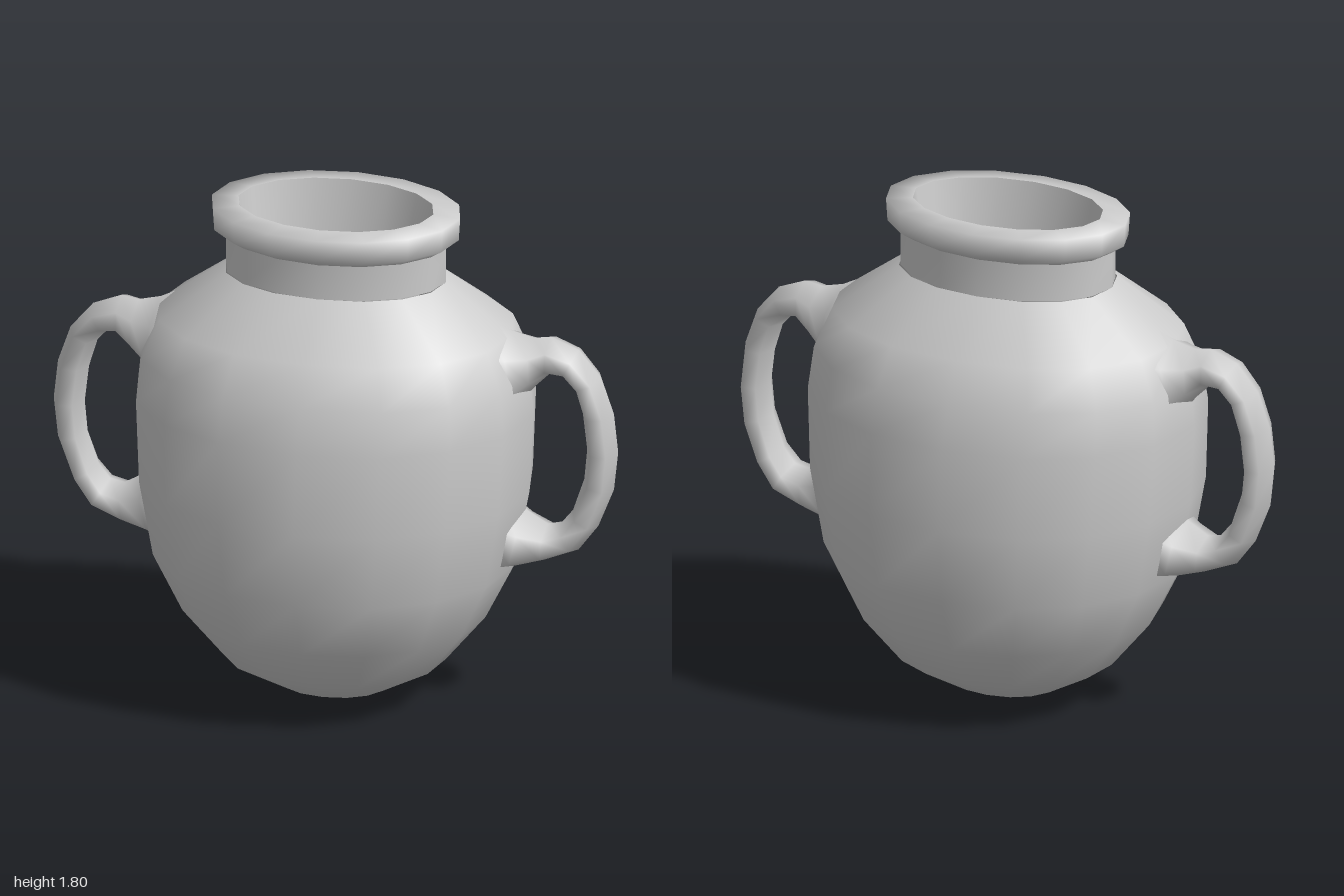
import * as THREE from 'three';

const SIDES = 16;
const material = new THREE.MeshStandardMaterial({ color: 0xcccccc, side: THREE.DoubleSide });

// Signed power, used to square off an ellipse a little
const spow = (v, e) => (Math.abs(v) < 1e-9 ? 0 : Math.sign(v) * Math.abs(v) ** e);

// Skin a list of equal-length closed rings of points
function skin(name, rings) {
  const n = rings[0].length;
  const index = [];
  for (let i = 0; i < rings.length - 1; i++) {
    for (let j = 0; j < n; j++) {
      const k = (j + 1) % n;
      const a = i * n + j, b = i * n + k, c = a + n, d = b + n;
      index.push(a, c, b, b, c, d);
    }
  }
  const geometry = new THREE.BufferGeometry();
  geometry.setAttribute('position', new THREE.Float32BufferAttribute(rings.flat(2), 3));
  geometry.setIndex(index);
  geometry.computeVertexNormals();
  const mesh = new THREE.Mesh(geometry, material);
  mesh.name = name;
  return mesh;
}

// Oval ring; the mouth tilts very slightly forward
function oval([y, rx, rz], power = 1) {
  const tilt = y > 1.6 ? 0.02 : 0;
  return Array.from({ length: SIDES }, (_, j) => {
    const a = (j / SIDES) * Math.PI * 2;
    const z = rz * spow(Math.sin(a), power);
    return [rx * spow(Math.cos(a), power), y - tilt * z, z];
  });
}
const turned = (name, profile, power) => skin(name, profile.map((p) => oval(p, power)));

// Six-sided handle section between an outer and an inner point
function handleRing([ox, oy, ix, iy, w]) {
  const cx = (ox + ix) / 2, cy = (oy + iy) / 2;
  return Array.from({ length: 6 }, (_, j) => {
    const a = (j / 6) * Math.PI * 2;
    const c = Math.cos(a) / 2;
    return [cx + (ox - ix) * c, cy + (oy - iy) * c, (w * Math.sin(a)) / Math.sin(Math.PI / 3)];
  });
}

export function createModel() {
  const model = new THREE.Group();
  model.name = 'twoHandledJar';

  // Egg-shaped belly: height, half width, half depth
  model.add(turned('body', [
    [0, 0, 0], [0.04, 0.2, 0.18], [0.15, 0.39, 0.36], [0.32, 0.53, 0.49],
    [0.53, 0.635, 0.565], [0.8, 0.685, 0.59], [1.09, 0.7, 0.56],
    [1.24, 0.685, 0.51], [1.38, 0.625, 0.445], [1.55, 0.39, 0.26],
  ], 0.93));

  // Neck, lip and hollow mouth
  model.add(turned('neck', [[1.55, 0.39, 0.26], [1.68, 0.39, 0.255]]));
  model.add(turned('rim', [
    [1.68, 0.39, 0.255], [1.71, 0.435, 0.3], [1.79, 0.44, 0.305], [1.797, 0.345, 0.225],
  ]));
  model.add(turned('mouthWall', [[1.797, 0.345, 0.225], [1.4, 0.28, 0.15]]));
  model.add(turned('mouthFloor', [[1.4, 0.28, 0.15], [1.4, 0, 0]]));

  // Handles, bottom to top: outer x, y, inner x, y, half thickness
  const sections = [
    [0.5, 0.44, 0.56, 0.84, 0.17], [0.63, 0.52, 0.68, 0.73, 0.12],
    [0.74, 0.555, 0.75, 0.69, 0.09], [0.86, 0.605, 0.8, 0.7, 0.085],
    [0.93, 0.7, 0.84, 0.75, 0.075], [0.985, 0.84, 0.88, 0.87, 0.07],
    [1, 0.98, 0.89, 0.98, 0.07], [0.985, 1.12, 0.875, 1.11, 0.07],
    [0.94, 1.25, 0.845, 1.21, 0.07], [0.86, 1.345, 0.81, 1.25, 0.075],
    [0.76, 1.385, 0.76, 1.25, 0.085], [0.7, 1.375, 0.71, 1.2, 0.1],
    [0.62, 1.395, 0.66, 1.14, 0.13], [0.49, 1.46, 0.56, 1.04, 0.18],
  ];
  for (const side of ['left', 'right']) {
    const handle = skin(side + 'Handle', sections.map(handleRing));
    if (side === 'right') handle.rotation.y = Math.PI;
    model.add(handle);
  }
  return model;
}
